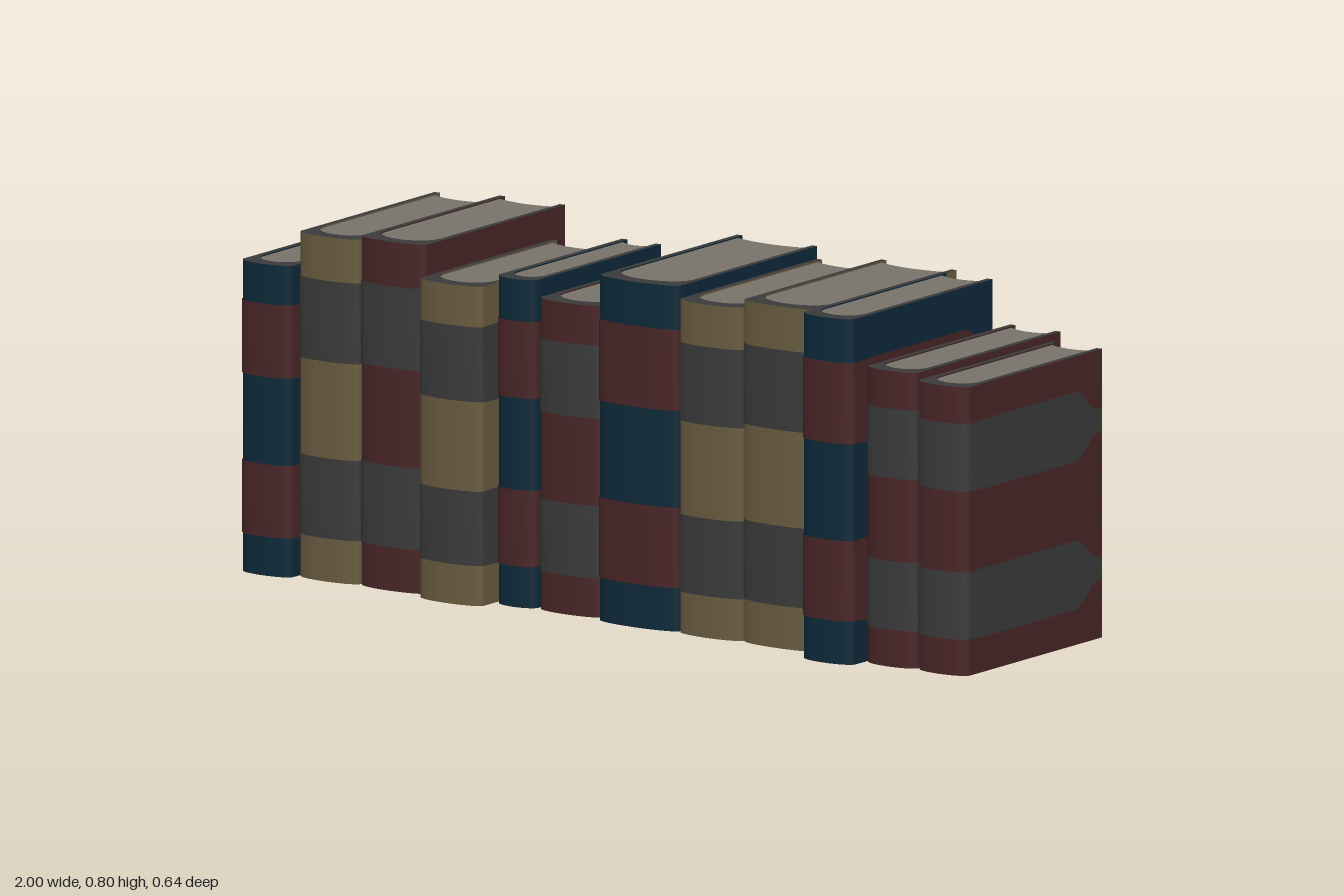
import * as THREE from 'three';

const mat = (name, color, side = THREE.FrontSide) => {
  const m = new THREE.MeshStandardMaterial({ color, side });
  m.name = name;
  return m;
};

const EDGE = 0.014;   // cover board thickness
const BULGE = 0.025;  // how far the spine rounds out
const GAP = 0.003;    // clearance that leaves room for the painted bands

// Rounded spine outline as [x, z] points, left back edge to right back edge
function coverPath(hw, zFront, zBack, steps = 16) {
  const pts = [[-hw, zBack]];
  for (let i = 0; i <= steps; i++) {
    const a = Math.PI * (1 - i / steps);
    const s = Math.sin(a);
    pts.push([hw * Math.cos(a), zFront - BULGE + BULGE * Math.pow(s, 0.9)]);
  }
  pts.push([hw, zBack]);
  return pts;
}

// Rounded front of the page block, left back edge to right back edge
function pagePath(hw, zFront, zBack, steps = 16) {
  const r = Math.min(hw * 0.95, 0.065);
  const pts = [[-hw, zBack]];
  for (let i = 0; i <= steps; i++) {
    const a = Math.PI * (1 - i / steps);
    pts.push([hw * Math.cos(a), zFront - r + r * Math.pow(Math.sin(a), 0.85)]);
  }
  pts.push([hw, zBack]);
  return pts;
}

// Extrude a plan outline of [x, z] points upwards
function extrudePlan(pts, y0, y1) {
  const shape = new THREE.Shape(pts.map(([x, z]) => new THREE.Vector2(x, -z)));
  const g = new THREE.ExtrudeGeometry(shape, { depth: y1 - y0, bevelEnabled: false });
  return g.rotateX(-Math.PI / 2).translate(0, y0, 0);
}

// Painted band wrapping the spine and both boards, narrowing at the back
function bandGeometry(hw, zFront, zBack, y0, y1) {
  const outer = coverPath(hw + 0.0015, zFront + 0.0015, zBack);
  const front = outer.slice(1, -1);
  const len = zFront - BULGE - zBack;
  const stops = [[0.001, 0.3], [0.04, 0.42], [0.075, 0.85], [0.1, 1], [len - 0.07, 1]];
  const side = (x) => stops.map(([d, s]) => [x, zBack + d, s]);
  const path = [
    ...side(-hw - 0.0015),
    ...front.map(([x, z]) => [x, z, 0.97]),
    ...side(hw + 0.0015).reverse(),
  ];
  const mid = (y0 + y1) / 2, half = (y1 - y0) / 2;
  const pos = [], idx = [];
  path.forEach(([x, z, s], i) => {
    pos.push(x, mid - half * s, z, x, mid + half * s, z);
    if (i) {
      const a = 2 * i - 2;
      idx.push(a, a + 2, a + 1, a + 1, a + 2, a + 3);
    }
  });
  const g = new THREE.BufferGeometry();
  g.setAttribute('position', new THREE.Float32BufferAttribute(pos, 3));
  g.setIndex(idx);
  g.computeVertexNormals();
  return g;
}

export function createModel() {
  const navy = mat('navy cloth', 0x0e2a3a);
  const red = mat('maroon cloth', 0x4a2628);
  const tan = mat('tan cloth', 0x6a5c40);
  const grey = mat('grey board', 0x3b3b3b);
  const paper = mat('paper', 0x78736a);
  const redBand = mat('maroon band', 0x4a2628, THREE.DoubleSide);
  const greyBand = mat('grey band', 0x3b3b3b, THREE.DoubleSide);

  // left x, right x, height, spine z, back z, cloth, band
  const books = [
    [-1.0, -0.86, 0.712, 0.26, -0.28, navy, redBand],
    [-0.86, -0.692, 0.788, 0.235, -0.308, tan, greyBand],
    [-0.692, -0.51, 0.798, 0.235, -0.322, red, greyBand],
    [-0.505, -0.33, 0.73, 0.272, -0.26, tan, greyBand],
    [-0.327, -0.218, 0.75, 0.22, -0.28, navy, redBand],
    [-0.213, -0.037, 0.712, 0.22, -0.308, red, greyBand],
    [-0.032, 0.19, 0.79, 0.247, -0.308, navy, redBand],
    [0.19, 0.366, 0.762, 0.25, -0.303, tan, greyBand],
    [0.366, 0.575, 0.782, 0.25, -0.303, tan, greyBand],
    [0.578, 0.72, 0.79, 0.32, -0.236, navy, redBand],
    [0.72, 0.86, 0.676, 0.272, -0.302, red, greyBand],
    [0.86, 1.0, 0.66, 0.272, -0.264, red, greyBand],
  ];

  const model = new THREE.Group();
  model.name = 'bookRow';

  books.forEach(([x0, x1, h, zf, zb, cloth, band], n) => {
    const book = new THREE.Group();
    book.name = `book${n + 1}`;
    book.position.x = (x0 + x1) / 2;
    const hw = (x1 - x0) / 2 - GAP / 2;
    const add = (name, geometry, material) => {
      const m = new THREE.Mesh(geometry, material);
      m.name = name;
      book.add(m);
    };

    // Cover: boards and spine in one piece, grey on the cut edges
    const inner = pagePath(hw - EDGE, zf - 0.035, zb);
    const cover = [...coverPath(hw, zf, zb), ...inner.slice().reverse()];
    add('cover', extrudePlan(cover, 0, h), [grey, cloth]);

    // Page block with a hollow fore edge
    const pages = pagePath(hw - EDGE, zf - 0.035, zb + 0.018);
    for (let i = 1; i < 10; i++) {
      const u = 1 - (2 * i) / 10;
      pages.push([(hw - EDGE) * u, zb + 0.018 + 0.014 * (1 - u * u)]);
    }
    add('pages', extrudePlan(pages, 0.003, h - 0.003), paper);

    // Two painted bands
    add('lowerBand', bandGeometry(hw, zf, zb, 0.122 * h, 0.362 * h), band);
    add('upperBand', bandGeometry(hw, zf, zb, 0.635 * h, 0.877 * h), band);
    model.add(book);
  });
  return model;
}
